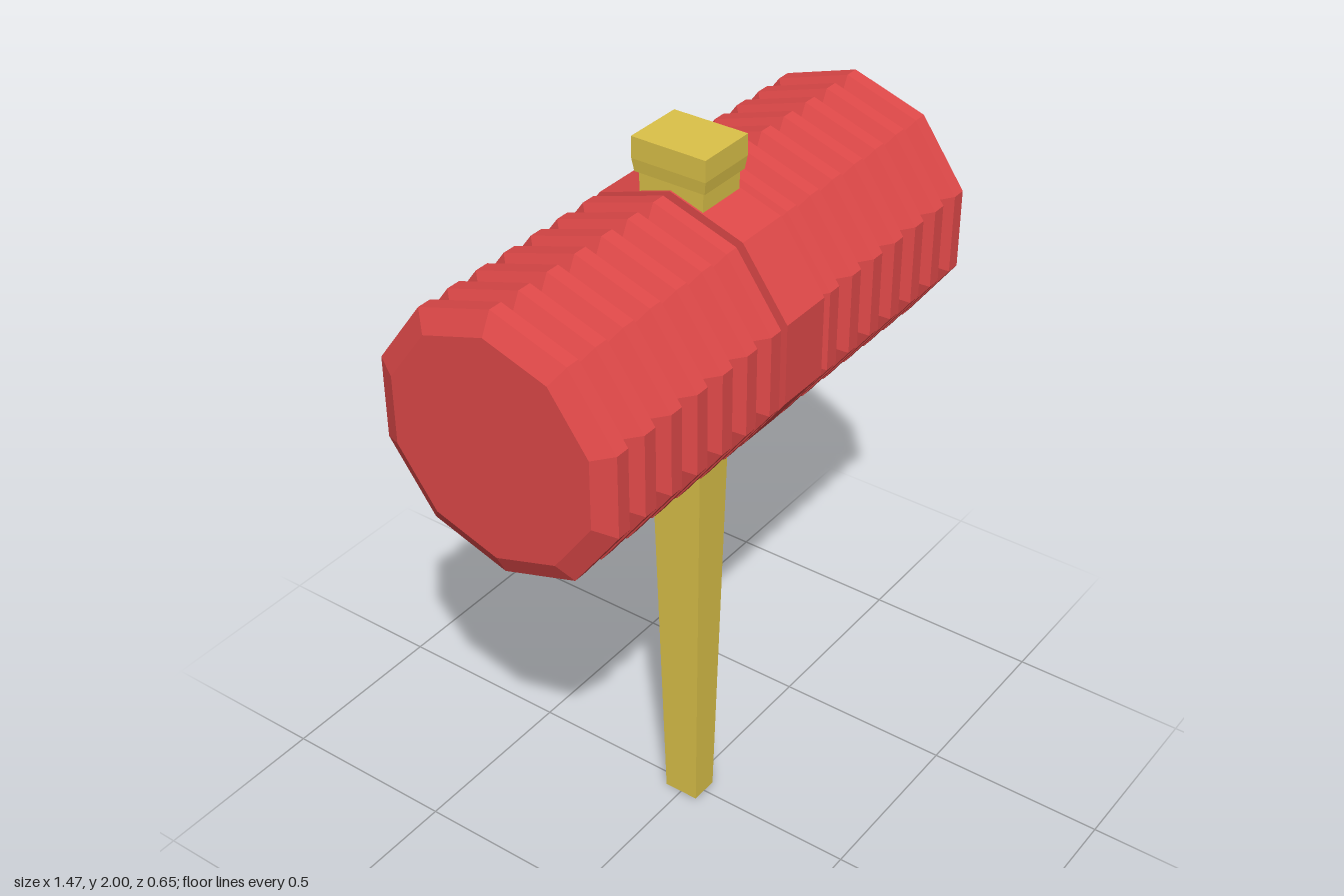
import * as THREE from 'three';

const red = new THREE.MeshStandardMaterial({ color: 0xe04949 });
red.name = 'red plastic';
const yellow = new THREE.MeshStandardMaterial({ color: 0xdcc249 });
yellow.name = 'yellow plastic';

// Faceted lathe from [radius, height] pairs
function facetedLathe(profile, sides, phiStart) {
  const points = profile.map(([r, y]) => new THREE.Vector2(r, y));
  return new THREE.LatheGeometry(points, sides, phiStart, Math.PI * 2).toNonIndexed();
}

function addMesh(group, name, geometry, material) {
  geometry.computeVertexNormals();
  const mesh = new THREE.Mesh(geometry, material);
  mesh.name = name;
  group.add(mesh);
  return mesh;
}

// Ten-sided solid along x, with a corner at top and bottom
function headPart(profile) {
  return facetedLathe(profile, 10, Math.PI / 10).rotateZ(-Math.PI / 2).translate(0, 1.547, 0);
}

// Square tapered solid from [half depth, height] pairs; width is 0.8 of depth
function squarePart(profile) {
  const corners = profile.map(([d, y]) => [d * Math.SQRT2, y]);
  return facetedLathe(corners, 4, Math.PI / 4).scale(0.8, 1, 1);
}

export function createModel() {
  const model = new THREE.Group();
  model.name = 'toyHammer';

  const ridgeRadius = 0.343, valleyRadius = 0.288;
  const pitch = 0.0943, ridges = 7, end = 0.733, flat = 0.019;

  // Pleated bellows, one on each side of the centre band
  for (const side of [-1, 1]) {
    const start = side < 0 ? -end : end - ridges * pitch;
    const profile = [[0, start], [valleyRadius, start]];
    for (let i = 0; i < ridges; i++) {
      const centre = start + (i + 0.5) * pitch;
      profile.push([ridgeRadius, centre - flat], [ridgeRadius, centre + flat]);
      profile.push([valleyRadius, centre + pitch / 2]);
    }
    profile.push([0, start + ridges * pitch]);
    addMesh(model, side < 0 ? 'rightBellows' : 'leftBellows', headPart(profile), red);
  }

  // Smooth band in the middle of the head
  addMesh(model, 'centreBand', headPart([
    [0, -0.076], [ridgeRadius, -0.076], [ridgeRadius, 0.076], [0, 0.076],
  ]), red);

  // Tapered handle passing through the head
  addMesh(model, 'handle', squarePart([[0.05, 0], [0.09, 1.915]]), yellow);

  // Red end face under the handle
  addMesh(model, 'handleEnd', new THREE.PlaneGeometry(0.08, 0.1).rotateX(Math.PI / 2), red);

  // Chamfered block on top
  addMesh(model, 'topCap', squarePart([
    [0, 1.912], [0.098, 1.912], [0.103, 1.945], [0.103, 2], [0, 2],
  ]), yellow);

  return model;
}
